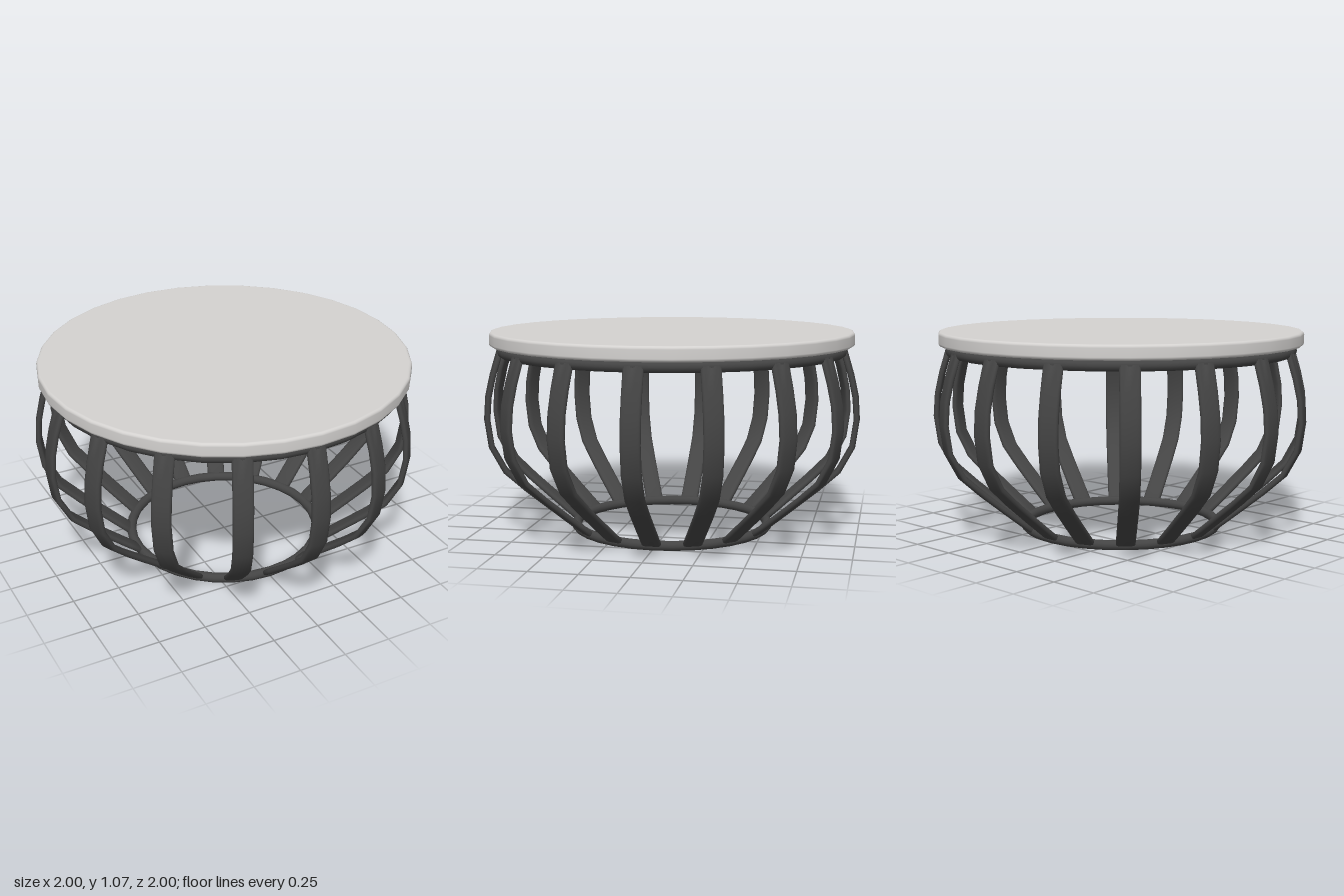
import * as THREE from 'three';

// Centre line of one rib as [radius, height], bottom to top
const ribPath = [
  [0.515, 0.025], [0.59, 0.085], [0.67, 0.15], [0.785, 0.245], [0.895, 0.345],
  [0.964, 0.475], [0.984, 0.62], [0.975, 0.74], [0.95, 0.85], [0.912, 0.975],
];

// Flat bar with rounded edges, swept along the path in the plane z = 0
function ribGeometry(halfWidth, halfThick) {
  const sides = 16, positions = [], index = [];
  const n = ribPath.length;
  const soft = (v) => Math.sign(v) * Math.pow(Math.abs(v), 0.6);
  ribPath.forEach(([r, y], i) => {
    const a = ribPath[Math.max(i - 1, 0)], b = ribPath[Math.min(i + 1, n - 1)];
    const t = new THREE.Vector2(b[0] - a[0], b[1] - a[1]).normalize();
    for (let k = 0; k < sides; k++) {
      const ang = (k / sides) * Math.PI * 2;
      const out = soft(Math.cos(ang)) * halfThick;
      positions.push(r + t.y * out, y - t.x * out, soft(Math.sin(ang)) * halfWidth);
    }
  });
  for (let i = 0; i < n - 1; i++) {
    for (let k = 0; k < sides; k++) {
      const a = i * sides + k, b = i * sides + (k + 1) % sides;
      index.push(a, a + sides, b, b, a + sides, b + sides);
    }
  }
  // End caps
  const last = (n - 1) * sides;
  for (let k = 1; k < sides - 1; k++) {
    index.push(0, k, k + 1, last, last + k + 1, last + k);
  }
  const geo = new THREE.BufferGeometry();
  geo.setAttribute('position', new THREE.Float32BufferAttribute(positions, 3));
  geo.setIndex(index);
  geo.computeVertexNormals();
  return geo;
}

export function createModel() {
  const group = new THREE.Group();
  const metal = new THREE.MeshStandardMaterial({ color: 0x444444 });
  metal.name = 'dark metal';
  const stone = new THREE.MeshStandardMaterial({ color: 0xd4d2d0 });
  stone.name = 'pale stone';

  // Round top with softened rim
  const R = 0.965, y0 = 1.0, y1 = 1.075, c = 0.016;
  const profile = [new THREE.Vector2(0, y0), new THREE.Vector2(R - c, y0), new THREE.Vector2(R - c, y0)];
  for (let i = 0; i <= 4; i++) {
    const a = -Math.PI / 2 + (i / 4) * Math.PI / 2;
    profile.push(new THREE.Vector2(R - c + c * Math.cos(a), y0 + c + c * Math.sin(a)));
  }
  for (let i = 0; i <= 4; i++) {
    const a = (i / 4) * Math.PI / 2;
    profile.push(new THREE.Vector2(R - c + c * Math.cos(a), y1 - c + c * Math.sin(a)));
  }
  profile.push(new THREE.Vector2(0, y1));
  // Drop coincident points so the normals stay clean
  const clean = profile.filter((p, i) => i === 0 || p.distanceTo(profile[i - 1]) > 1e-6);
  const top = new THREE.Mesh(new THREE.LatheGeometry(clean, 32), stone);
  top.name = 'tableTop';
  group.add(top);

  // Upper and lower hoops
  const hoop = (name, radius, tube, y) => {
    const mesh = new THREE.Mesh(new THREE.TorusGeometry(radius, tube, 12, 32), metal);
    mesh.rotation.x = Math.PI / 2;
    mesh.position.y = y;
    mesh.name = name;
    group.add(mesh);
  };
  hoop('upperHoop', 0.903, 0.027, 0.973);
  hoop('lowerHoop', 0.518, 0.026, 0.027);

  // Sixteen bowed ribs around the basket
  const ribs = new THREE.Group();
  ribs.name = 'ribs';
  const geo = ribGeometry(0.05, 0.016);
  for (let i = 0; i < 16; i++) {
    const rib = new THREE.Mesh(geo, metal);
    rib.rotation.y = (i / 16) * Math.PI * 2;
    rib.name = 'rib';
    ribs.add(rib);
  }
  group.add(ribs);
  return group;
}
